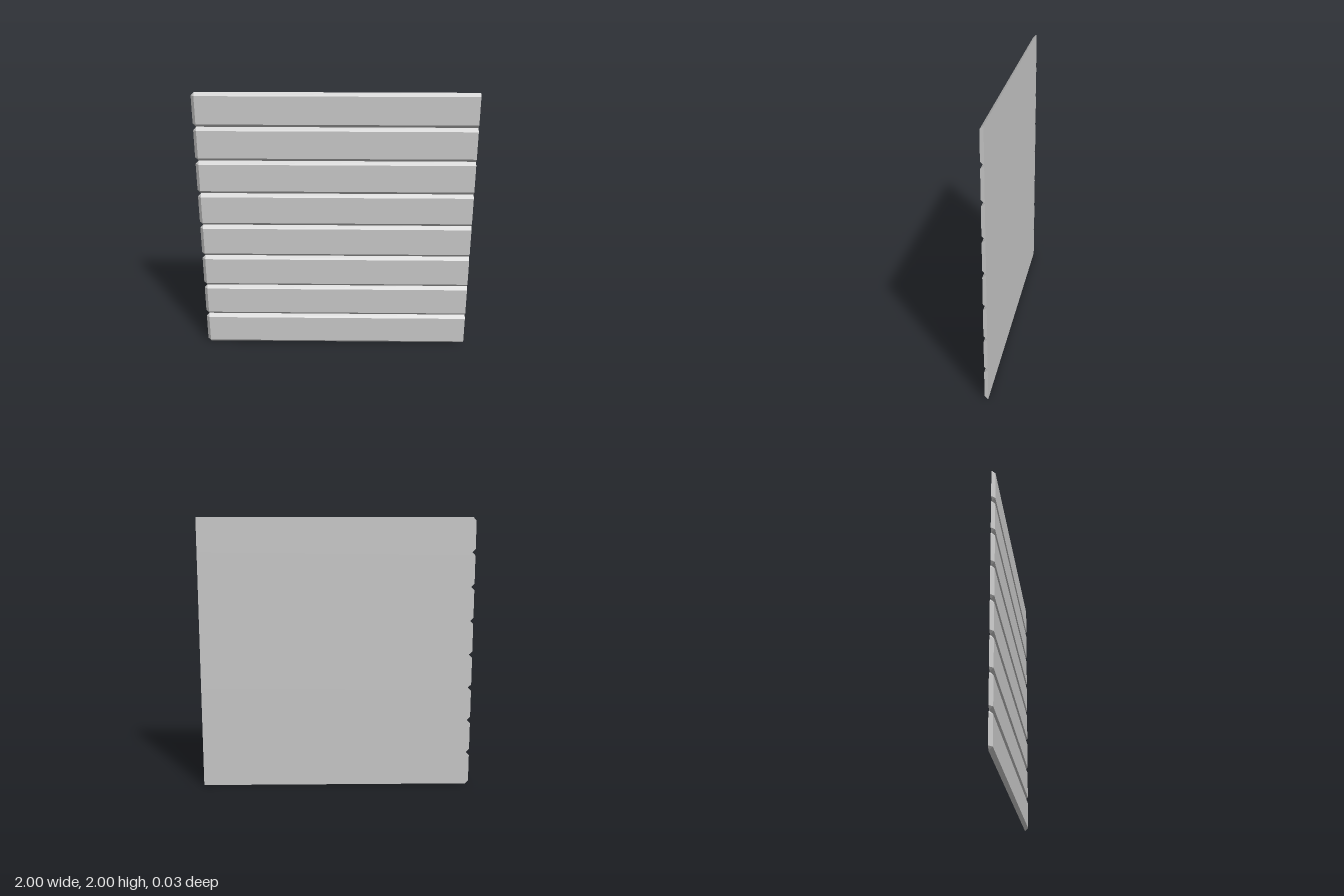
import * as THREE from 'three';
import { ConvexGeometry } from 'three/addons/geometries/ConvexGeometry.js';

const COUNT = 8;          // planks stacked up the panel
const PITCH = 2 / COUNT;  // height of one plank
const BEVEL = 0.024;      // width of the chamfered edges
const BACK = -0.0125;
const FRONT = 0.0125;

// One plank: square cut at +x, chamfered along top, bottom and the -x end
function plankGeometry() {
  const lo = BEVEL, hi = PITCH - BEVEL, inner = -1 + BEVEL;
  const back = [[1, 0], [1, PITCH], [inner, PITCH], [-1, hi], [-1, lo], [inner, 0]];
  const front = [[1, lo], [1, hi], [inner, hi], [inner, lo]];
  return new ConvexGeometry([
    ...back.map(([x, y]) => new THREE.Vector3(x, y, BACK)),
    ...front.map(([x, y]) => new THREE.Vector3(x, y, FRONT)),
  ]);
}

export function createModel() {
  const group = new THREE.Group();
  group.name = 'plankWallPanel';
  const material = new THREE.MeshStandardMaterial({ color: 0xcccccc, flatShading: true });
  const geometry = plankGeometry();

  // Planks stacked from the ground up
  for (let i = 0; i < COUNT; i++) {
    const plank = new THREE.Mesh(geometry, material);
    plank.name = `plank${i + 1}`;
    plank.position.y = i * PITCH;
    group.add(plank);
  }
  return group;
}
